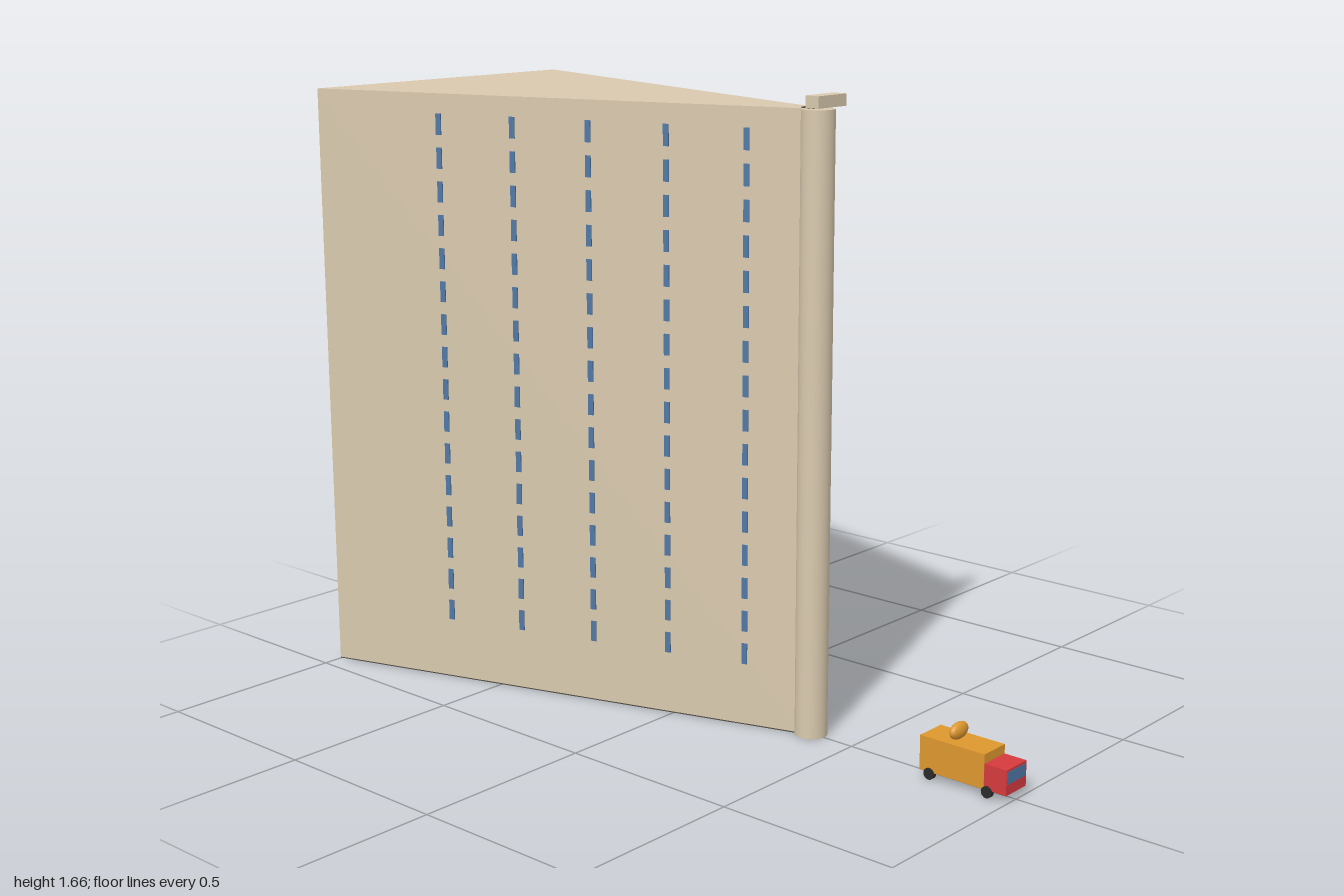
import * as THREE from 'three';

const mat = (name, color) => {
  const m = new THREE.MeshStandardMaterial({ color });
  m.name = name;
  return m;
};

export function createModel() {
  const stone = mat('limestone', 0xd9c9ae);
  const base = mat('dark base', 0x504d43);
  const glass = mat('blue glass', 0x5078a6);
  const orange = mat('orange paint', 0xde982f);
  const red = mat('red paint', 0xd63a3e);
  const pale = mat('pale hatch', 0xd8d6cc);
  const rubber = mat('dark rubber', 0x2b2b2b);

  const model = new THREE.Group();
  const add = (parent, name, geo, material, x, y, z) => {
    const mesh = new THREE.Mesh(geo, material);
    mesh.name = name;
    mesh.position.set(x, y, z);
    parent.add(mesh);
    return mesh;
  };
  const box = (w, h, d) => new THREE.BoxGeometry(w, h, d);

  // Wedge-shaped tower with a narrow blunt front, on a dark underside plate
  const height = 1.62, half = 0.445, tip = 0.018, front = 0.36, back = -1;
  const plan = new THREE.Shape([
    new THREE.Vector2(-half, -back),
    new THREE.Vector2(-tip, -front),
    new THREE.Vector2(tip, -front),
    new THREE.Vector2(half, -back),
  ]);
  const slab = (depth) =>
    new THREE.ExtrudeGeometry(plan, { depth, bevelEnabled: false }).rotateX(-Math.PI / 2);
  add(model, 'towerUnderside', slab(0.003), base, 0, 0, 0);
  add(model, 'tower', slab(height - 0.003), stone, 0, 0.003, 0);

  // Rounded prow column, its cap and the dark gap behind the cap
  const column = new THREE.CylinderGeometry(0.043, 0.043, height, 24);
  add(model, 'prowColumn', column, [stone, stone, base], 0, height / 2 - 0.001, 0.367);
  add(model, 'prowCap', box(0.11, 0.03, 0.04), stone, 0, 1.64, 0.39);
  add(model, 'prowGap', box(0.034, 0.004, 0.034), base, 0, height + 0.001, 0.345);

  // Narrow windows lying almost flush on both slanted walls
  const slope = Math.atan2(half - tip, front - back);
  const pane = box(0.005, 0.056, 0.015);
  for (const side of [-1, 1]) {
    const windows = new THREE.Group();
    windows.name = side > 0 ? 'leftWindows' : 'rightWindows';
    model.add(windows);
    for (let col = 0; col < 5; col++) {
      const z = 0.198 - col * 0.21;
      const x = tip + (front - z) * Math.tan(slope) + 0.001;
      for (let row = 0; row < 16; row++) {
        add(windows, 'window', pane, glass, side * x, 0.197 + row * 0.0895, z).rotation.y = -side * slope;
      }
    }
  }

  // Food truck parked in front
  const truck = new THREE.Group();
  truck.name = 'foodTruck';
  model.add(truck);
  add(truck, 'truckBody', box(0.088, 0.09, 0.19), orange, 0, 0.065, 0.84);
  add(truck, 'truckCab', box(0.086, 0.066, 0.064), red, 0, 0.053, 0.967);
  add(truck, 'windscreen', box(0.078, 0.032, 0.004), glass, 0, 0.064, 0.998);
  add(truck, 'servingHatch', box(0.01, 0.04, 0.12), pale, 0.048, 0.073, 0.832);
  add(truck, 'hatchAwning', box(0.015, 0.003, 0.12), orange, 0.0505, 0.0945, 0.832);

  // Roof ornament
  const ornament = add(truck, 'roofOrnament', new THREE.SphereGeometry(1, 20, 14), orange, 0, 0.131, 0.829);
  ornament.scale.set(0.035, 0.022, 0.015);

  // Wheels
  const wheel = new THREE.CylinderGeometry(0.015, 0.015, 0.012, 16).rotateZ(Math.PI / 2);
  for (const x of [-0.042, 0.042]) {
    for (const z of [0.775, 0.945]) add(truck, 'wheel', wheel, rubber, x, 0.016, z);
  }

  return model;
}
